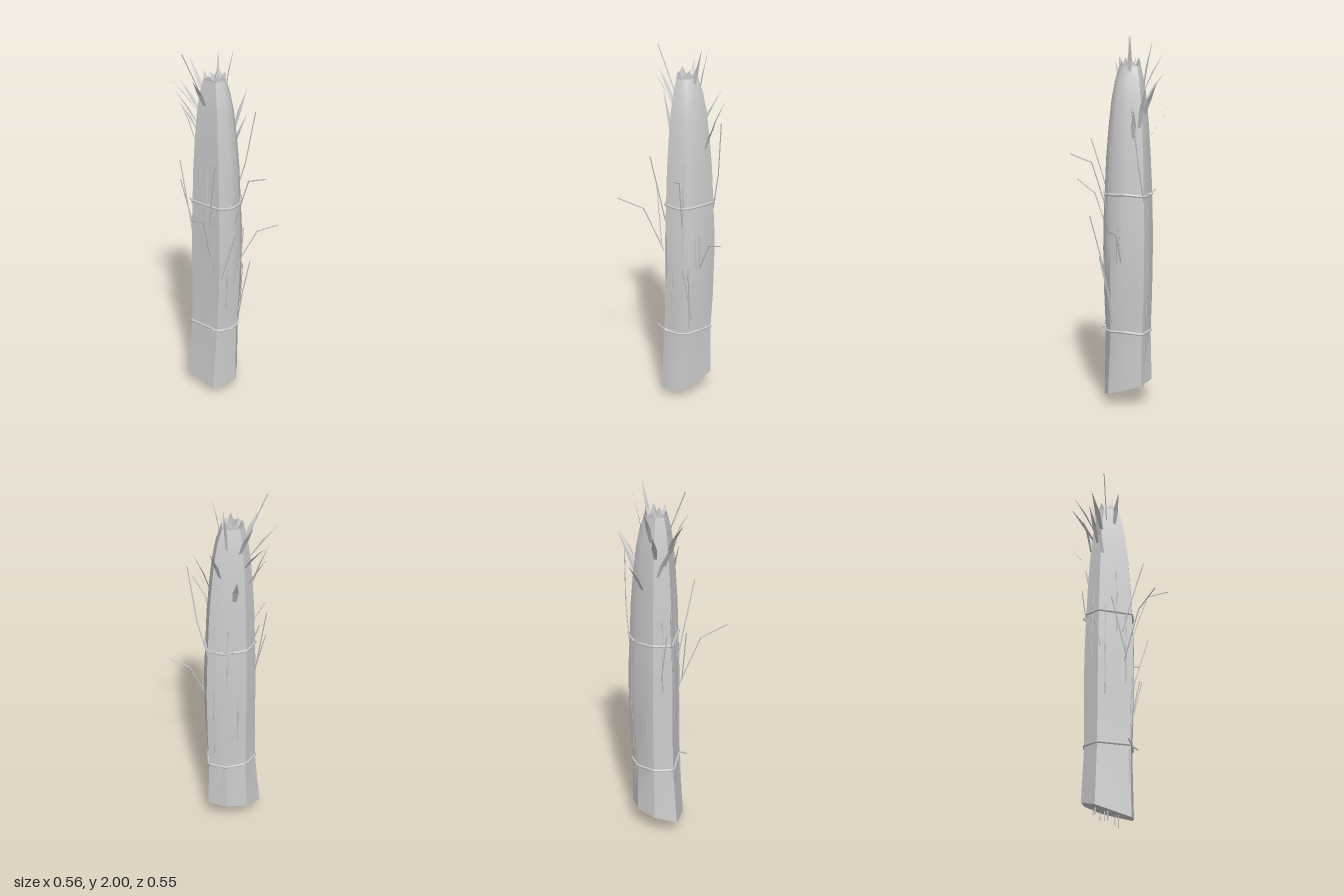
import * as THREE from 'three';
import { toCreasedNormals } from 'three/addons/utils/BufferGeometryUtils.js';

const V = (x, y, z) => new THREE.Vector3(x, y, z);

// Outline of the bundle at the cut foot and at the belly, as [x, z] corners
const FOOT = [[-0.22, -0.05], [-0.08, 0.08], [0, 0.055], [0.05, 0.02], [0.065, -0.08], [0.06, -0.17], [-0.05, -0.2], [-0.16, -0.16]];
const BELLY = [[-0.185, -0.06], [-0.04, 0.075], [0.03, 0.045], [0.075, 0], [0.09, -0.085], [0.06, -0.185], [-0.04, -0.205], [-0.15, -0.16]];
const CX = -0.065, CZ = -0.075;
// Levels: height, blend from foot to belly, scale about the axis
const LEVELS = [[0, 0, 1], [0.41, 0.6, 0.93], [0.62, 0.9, 0.98], [0.85, 1, 1], [1.0, 1, 0.99], [1.17, 1, 0.94],
  [1.35, 1, 0.89], [1.52, 1, 0.8], [1.66, 1, 0.7], [1.76, 1, 0.58], [1.84, 1, 0.42]];

function ring([y, blend, scale], grow = 1) {
  return FOOT.map(([fx, fz], i) => {
    const x = CX + (fx + (BELLY[i][0] - fx) * blend - CX) * scale * grow;
    const z = CZ + (fz + (BELLY[i][1] - fz) * blend - CZ) * scale * grow;
    return V(x, y === 0 ? 0.035 + (0.08 - z) * 0.35 : y, z);
  });
}

// Point on the bundle surface above the side i, at fraction t along it
function surface(i, t, y) {
  let k = 0;
  while (k < LEVELS.length - 2 && LEVELS[k + 1][0] < y) k++;
  const a = ring(LEVELS[k]), b = ring(LEVELS[k + 1]);
  const f = (y - LEVELS[k][0]) / (LEVELS[k + 1][0] - LEVELS[k][0]);
  const p = a[i].clone().lerp(a[(i + 1) % 8], t), q = b[i].clone().lerp(b[(i + 1) % 8], t);
  return p.lerp(q, f).setY(y);
}

function fromTriangles(points) {
  return new THREE.BufferGeometry().setFromPoints(points);
}

function bundleGeometry() {
  const rings = LEVELS.map((l) => ring(l));
  const tris = [];
  for (let k = 0; k < rings.length - 1; k++) {
    for (let i = 0; i < 8; i++) {
      const j = (i + 1) % 8, a = rings[k][i], b = rings[k][j], c = rings[k + 1][j], d = rings[k + 1][i];
      tris.push(a, b, c, a, c, d);
    }
  }
  // slanted cut at the foot
  const foot = rings[0], middle = V(CX, 0.035 + (0.08 - CZ) * 0.35, CZ);
  for (let i = 0; i < 8; i++) tris.push(middle, foot[(i + 1) % 8], foot[i]);
  return toCreasedNormals(fromTriangles(tris), 0.62);
}

// Pleated, jagged rim dipping to the middle
function crownGeometry() {
  const rim = ring(LEVELS[LEVELS.length - 1]), tris = [], dip = V(CX, 1.79, CZ);
  for (let i = 0; i < 8; i++) {
    const a = rim[i], b = rim[(i + 1) % 8];
    const peak = a.clone().lerp(b, 0.5).setY(1.865 + 0.02 * (i % 2));
    tris.push(a, b, peak, a, peak, dip, peak, b, dip);
  }
  const g = fromTriangles(tris);
  g.computeVertexNormals();
  return g;
}

// Flat pointed blade whose width lies across its outward lean
function bladeGeometry(base, tip, width) {
  const out = V(base.x - CX, 0, base.z - CZ).normalize();
  const side = V(-out.z, 0, out.x).multiplyScalar(width / 2);
  const mid = base.clone().lerp(tip, 0.45).addScaledVector(out, -0.006);
  const a = base.clone().addScaledVector(side, 0.6), b = base.clone().addScaledVector(side, -0.6);
  const c = mid.clone().add(side), d = mid.clone().sub(side);
  const g = fromTriangles([a, b, d, a, d, c, c, d, tip]);
  g.computeVertexNormals();
  return g;
}

export function createModel() {
  const group = new THREE.Group();
  const straw = new THREE.MeshStandardMaterial({ color: 0xcccccc });
  const thinStraw = new THREE.MeshStandardMaterial({ color: 0xcccccc, side: THREE.DoubleSide });
  straw.name = 'straw grey';
  thinStraw.name = 'straw grey thin';
  const add = (name, geometry, material = straw) => {
    const mesh = new THREE.Mesh(geometry, material);
    mesh.name = name;
    group.add(mesh);
  };
  // Thin straight rods joined at the given points
  const rods = (name, points, radius = 0.003) => {
    for (let i = 0; i < points.length - 1; i++) {
      add(name, new THREE.TubeGeometry(new THREE.LineCurve3(points[i], points[i + 1]), 1, radius, 5), thinStraw);
    }
  };

  add('bundle', bundleGeometry());
  add('crown', crownGeometry(), thinStraw);

  // Twine bindings with loose ends
  [[0.415, 1], [1.165, 5]].forEach(([y, k], n) => {
    const path = new THREE.CurvePath();
    const pts = ring(LEVELS[k], 1.02).map((p, i) => p.setY(y + 0.006 * Math.sin(i * 2.1)));
    pts.forEach((p, i) => path.add(new THREE.LineCurve3(p, pts[(i + 1) % 8])));
    add('twine', new THREE.TubeGeometry(path, 48, 0.007, 6, true));
    const knot = n ? V(-0.015, y, -0.195) : V(-0.04, y, 0.07);
    add('knot', new THREE.SphereGeometry(0.01, 8, 6).translate(knot.x, knot.y, knot.z));
    const s = n ? -1 : 1;
    rods('twineEnd', [knot, V(knot.x - 0.07, y + 0.02, knot.z + 0.01 * s)], 0.004);
    rods('twineEnd', [knot, V(knot.x + 0.08, y + 0.01, knot.z - 0.012 * s)], 0.004);
  });

  // Bent and straight twigs sticking out
  [
    [[0.08, 0.8, -0.065], [0.17, 0.97, -0.06], [0.28, 1.01, -0.05]],
    [[-0.09, 0.88, 0.045], [-0.13, 1.14, 0.15], [-0.19, 1.21, 0.275]],
    [[0.04, 1.05, 0.02], [0.11, 1.34, 0.09], [0.19, 1.39, 0.18]],
    [[0.05, 1.12, -0.18], [0.11, 1.33, -0.165], [0.16, 1.63, -0.14]],
    [[0.065, 0.45, -0.01], [0.09, 0.64, 0.01], [0.125, 0.84, 0.045]],
    [[-0.175, 0.95, -0.05], [-0.24, 1.38, -0.11]],
    [[-0.17, 0.97, -0.12], [-0.24, 1.26, -0.13]],
    [[-0.09, 1.05, 0.035], [-0.08, 1.25, 0.09], [-0.065, 1.45, 0.15]],
    [[-0.09, 0.9, 0.06], [-0.19, 1.22, 0.02]],
    [[-0.03, 0.75, 0.07], [0.04, 1.04, 0.125]],
    [[0.075, 0.5, -0.02], [0.085, 0.83, 0.05]],
    [[0.085, 0.82, -0.06], [0.095, 1.0, -0.05]],
    [[-0.12, 1.75, -0.05], [-0.22, 1.99, -0.015]],
  ].forEach((points) => rods('twig', points.map((p) => V(...p))));

  // Blades near the top: base, tip, width
  [
    [[-0.15, 1.68, -0.065], [-0.28, 1.85, -0.06], 0.028],
    [[-0.15, 1.6, -0.09], [-0.26, 1.78, -0.085], 0.026],
    [[-0.16, 1.52, -0.05], [-0.24, 1.74, -0.06], 0.022],
    [[-0.13, 1.64, -0.13], [-0.235, 1.8, -0.21], 0.026],
    [[-0.105, 1.72, -0.14], [-0.18, 1.91, -0.225], 0.026],
    [[-0.15, 1.55, -0.13], [-0.24, 1.7, -0.13], 0.02],
    [[-0.085, 1.47, -0.18], [-0.11, 1.63, -0.275], 0.032],
    [[-0.01, 1.58, -0.16], [0.03, 1.76, -0.24], 0.03],
    [[0.045, 1.52, -0.15], [0.12, 1.74, -0.205], 0.028],
    [[0.05, 1.46, -0.12], [0.115, 1.62, -0.14], 0.026],
    [[-0.04, 1.7, -0.145], [-0.03, 1.975, -0.2], 0.016],
    [[0.0, 1.76, -0.08], [0.045, 2.0, -0.1], 0.024],
    [[-0.11, 1.72, -0.005], [-0.17, 1.87, 0.05], 0.03],
  ].forEach(([base, tip, width]) => add('blade', bladeGeometry(V(...base), V(...tip), width), thinStraw));

  // Loose straws lying along the sides: side, fraction, lower and upper height
  [
    [0, 0.2, 0.68, 1.2], [0, 0.55, 1.05, 1.42], [0, 0.8, 0.75, 1.15], [0, 0.97, 0.2, 0.8], [1, 0.6, 0.55, 0.8],
    [2, 0.5, 0.85, 1.42], [3, 0.5, 0.8, 1.0], [5, 0.4, 0.5, 1.1], [6, 0.1, 0.95, 1.3], [6, 0.6, 0.6, 0.9], [7, 0.5, 0.9, 1.3],
  ].forEach(([i, t, low, high]) => rods('looseStraw', [surface(i, t, low), surface(i, t, (low + high) / 2), surface(i, t, high)], 0.0035));

  // Stalk ends hanging from the cut foot
  [[-0.04, -0.01, 0], [0.0, -0.05, 0.03], [-0.1, -0.04, 0.03], [-0.06, -0.08, 0.04], [-0.12, -0.1, 0.06], [0.01, -0.14, 0.07], [-0.05, -0.15, 0.08]]
    .forEach(([x, z, low]) => rods('stalkEnd', [V(x, low, z), V(x, 0.15, z)], 0.003));

  return group;
}
